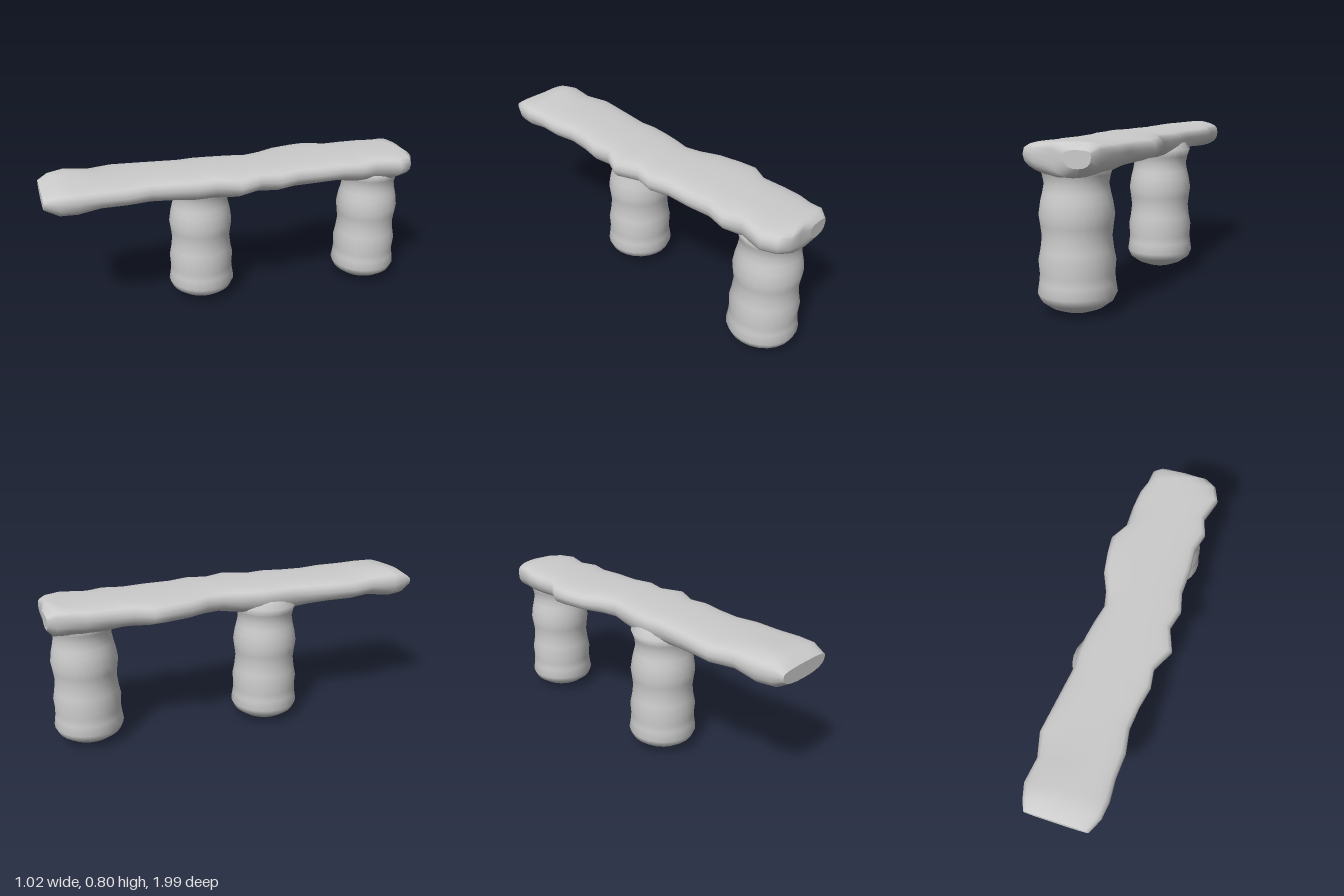
import * as THREE from 'three';

const material = new THREE.MeshStandardMaterial({ color: 0xcccccc, side: THREE.DoubleSide });
const pillars = [[-0.118, 0.13], [0.281, -0.77]];

// Plank edge points from the front end to the back: left x, left z, right x, right z
const rows = [
  [-0.51, 0.885, -0.2, 0.99], [-0.515, 0.83, -0.14, 0.93], [-0.51, 0.75, -0.1, 0.85],
  [-0.45, 0.63, -0.07, 0.74], [-0.44, 0.5, -0.02, 0.62], [-0.38, 0.38, 0.0, 0.5],
  [-0.33, 0.28, 0.05, 0.39], [-0.28, 0.18, 0.11, 0.29], [-0.255, 0.09, 0.13, 0.19],
  [-0.22, 0.01, 0.225, 0.1], [-0.17, -0.08, 0.22, -0.03], [-0.12, -0.16, 0.28, -0.12],
  [-0.11, -0.25, 0.29, -0.23], [-0.12, -0.36, 0.34, -0.36], [-0.1, -0.48, 0.37, -0.48],
  [-0.08, -0.56, 0.43, -0.57], [0.0, -0.63, 0.43, -0.67], [0.04, -0.75, 0.51, -0.78],
  [0.08, -0.84, 0.505, -0.86], [0.125, -0.9, 0.46, -0.91], [0.155, -0.965, 0.38, -0.93],
  [0.2, -0.995, 0.32, -0.96],
];

function plank() {
  const N = 24, pos = [], index = [], last = rows.length - 1;
  const pow = (v, e) => Math.sign(v) * Math.abs(v) ** e;
  rows.forEach(([lx, lz, rx, rz], i) => {
    const end = i === 0 || i === last;
    for (let j = 0; j < N; j++) {
      const a = (j / N) * Math.PI * 2, c = pow(Math.cos(a), 0.8), s = Math.sin(a);
      const x = (lx + rx) / 2 + c * (rx - lx) / 2;
      const z = (lz + rz) / 2 + c * (rz - lz) / 2;
      // Underside sags into each pillar; a low bump sits near the front of the top
      const near = Math.min(...pillars.map(p => Math.hypot(x - p[0], z - p[1])));
      const low = end ? 0.67 : i < 3 ? 0.632 : 0.653 - 0.05 * Math.exp(-((near / 0.2) ** 2));
      const bump = 0.02 * Math.exp(-(((x + 0.4) / 0.12) ** 2) - ((z - 0.76) / 0.09) ** 2);
      const high = end ? 0.75 : 0.783 + bump;
      const y = s >= 0 ? 0.725 + (high - 0.725) * pow(s, 0.55) : 0.725 + (0.725 - low) * pow(s, 0.8);
      pos.push(x, y, z);
    }
  });
  for (let i = 0; i < last; i++) for (let j = 0; j < N; j++) {
    const a = i * N + j, b = i * N + (j + 1) % N;
    index.push(a, a + N, b, b, a + N, b + N);
  }
  // Close both ends, with their own vertices so that the rims stay crisp
  for (const row of [0, last]) {
    const base = pos.length / 3, [lx, lz, rx, rz] = rows[row];
    pos.push(...pos.slice(row * N * 3, (row + 1) * N * 3), (lx + rx) / 2, 0.71, (lz + rz) / 2);
    for (let j = 0; j < N; j++) {
      const a = base + j, b = base + (j + 1) % N;
      index.push(base + N, ...(row ? [b, a] : [a, b]));
    }
  }
  const g = new THREE.BufferGeometry();
  g.setAttribute('position', new THREE.Float32BufferAttribute(pos, 3));
  g.setIndex(index);
  g.computeVertexNormals();
  return g;
}

// Lumpy round pillar with a soft foot, a narrow neck and a flared top
function pillar() {
  const profile = [
    [0, 0], [0.07, 0.004], [0.125, 0.025], [0.167, 0.055], [0.183, 0.09], [0.175, 0.14],
    [0.172, 0.18], [0.177, 0.24], [0.167, 0.29], [0.16, 0.35], [0.166, 0.4], [0.173, 0.45],
    [0.164, 0.51], [0.154, 0.55], [0.147, 0.59], [0.155, 0.63], [0.17, 0.67], [0.13, 0.72],
  ].map(([r, y]) => new THREE.Vector2(r, y));
  return new THREE.LatheGeometry(profile, 24);
}

export function createModel() {
  const group = new THREE.Group();
  const add = (geometry, name) => {
    const mesh = new THREE.Mesh(geometry, material);
    mesh.name = name;
    group.add(mesh);
    return mesh;
  };
  add(plank(), 'plank');
  pillars.forEach(([x, z], i) => add(pillar(), i ? 'backPillar' : 'middlePillar').position.set(x, 0, z));
  return group;
}
